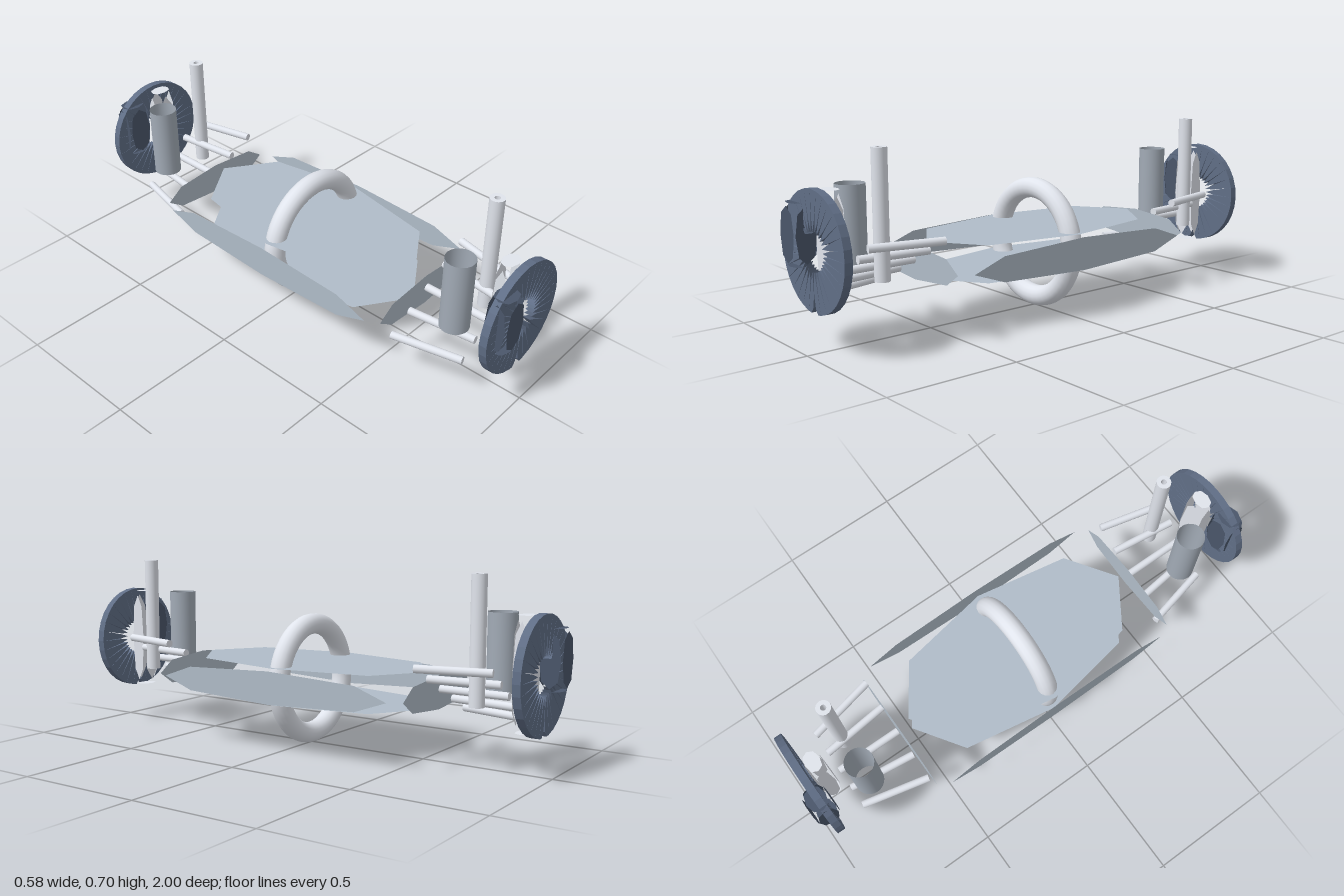
import * as THREE from 'three';

const mat = (color) => new THREE.MeshStandardMaterial({ color, side: THREE.DoubleSide });
const paleMat = mat(0xe0e4ec);
const bodyMat = mat(0xb0bcc8);
const wheelMat = mat(0x606e86);
const podMat = mat(0x4a566a);
const canMat = mat(0xa2abb6);

function add(parent, name, geometry, material, x = 0, y = 0, z = 0) {
  const mesh = new THREE.Mesh(geometry, material);
  mesh.name = name;
  mesh.position.set(x, y, z);
  parent.add(mesh);
  return mesh;
}

// Six separate eight-sided plates of half sizes a, b, c, each standing slightly off its side of the box
function plateShell(name, a, b, c, material) {
  const shell = new THREE.Group();
  shell.name = name;
  const turns = [[0, 0], [0, Math.PI], [0, Math.PI / 2], [0, -Math.PI / 2], [Math.PI / 2, 0], [-Math.PI / 2, 0]];
  for (const [rx, ry] of turns) {
    const g = new THREE.CircleGeometry(1, 8);
    const p = g.attributes.position;
    for (let i = 2; i < p.count; i += 2) p.setXY(i, p.getX(i) * 1.05, p.getY(i) * 1.05);
    g.translate(0, 0, 1.1).rotateX(rx).rotateY(ry).scale(a, b, c);
    add(shell, name + 'Plate', g, material);
  }
  return shell;
}

// Slotted wheel: pointed radial blades, split open at the bottom
function slottedWheel() {
  const wheel = new THREE.Group();
  wheel.name = 'slottedWheel';
  const n = 32, half = Math.PI / n, depth = 0.03;
  for (let i = 0; i < n; i++) {
    const mid = -Math.PI / 2 + (2 * i + 1) * half;
    const at = (r, t) => new THREE.Vector2(r * Math.cos(mid + t * half), r * Math.sin(mid + t * half));
    const first = i === 0, last = i === n - 1;
    const shape = new THREE.Shape([
      at(0.07, 0), at(0.11, -0.83), at(0.15, -0.92), at(0.195, first ? -0.5 : -0.985), at(0.214, first ? 0.1 : -1),
      at(0.214, last ? -0.1 : 1), at(0.195, last ? 0.5 : 0.985), at(0.15, 0.92), at(0.11, 0.83),
    ]);
    const g = new THREE.ExtrudeGeometry(shape, { depth, bevelEnabled: false });
    g.translate(0, 0, -depth / 2);
    add(wheel, 'blade', g, wheelMat);
  }
  return wheel;
}

// Hollow upright pole
function poleGeometry(outer, inner, height) {
  const h = height / 2;
  const pts = [[inner, -h], [outer, -h], [outer, -h], [outer, h], [outer, h], [inner, h], [inner, h], [inner, -h]];
  return new THREE.LatheGeometry(pts.map(([r, y]) => new THREE.Vector2(r, y)), 20);
}

// Everything at one end; s = 1 for front, -1 for back
function endAssembly(s) {
  const end = new THREE.Group();
  end.name = s > 0 ? 'frontEnd' : 'backEnd';

  const wheel = slottedWheel();
  wheel.position.set(0, 0.354, 0.95 * s);
  end.add(wheel);

  const pod = plateShell('wheelPod', 0.049, 0.1, 0.04, podMat);
  pod.position.set(-0.108, 0.4, 0.956 * s);
  end.add(pod);

  const spindle = plateShell('spindle', 0.042, 0.186, 0.03, paleMat);
  spindle.position.set(0, 0.355, 0.893 * s);
  end.add(spindle);

  add(end, 'pole', poleGeometry(0.028, 0.011, 0.46), paleMat, 0.097, 0.47, 0.757 * s);
  add(end, 'openCan', new THREE.CylinderGeometry(0.055, 0.055, 0.29, 24, 1, true), canMat, -0.098, 0.41, 0.76 * s);

  // Stepped fan of five rods
  for (let i = -2; i <= 2; i++) {
    const y = 0.27 + 0.05 * i;
    const a = new THREE.Vector3(0.1 * i, y, 0.567 * s);
    const b = new THREE.Vector3(0.069 * i, y, 0.835 * s);
    const dir = b.clone().sub(a);
    const rod = add(end, 'rod', new THREE.CylinderGeometry(0.015, 0.015, dir.length(), 14), paleMat);
    rod.position.copy(a).add(b).multiplyScalar(0.5);
    rod.quaternion.setFromUnitVectors(new THREE.Vector3(0, 1, 0), dir.normalize());
  }
  return end;
}

export function createModel() {
  const model = new THREE.Group();
  model.name = 'model';

  const body = plateShell('body', 0.262, 0.063, 0.51, bodyMat);
  body.position.y = 0.257;
  model.add(body);

  add(model, 'hoop', new THREE.TorusGeometry(0.215, 0.04, 16, 48), paleMat, 0, 0.256, 0);

  model.add(endAssembly(1), endAssembly(-1));
  return model;
}
